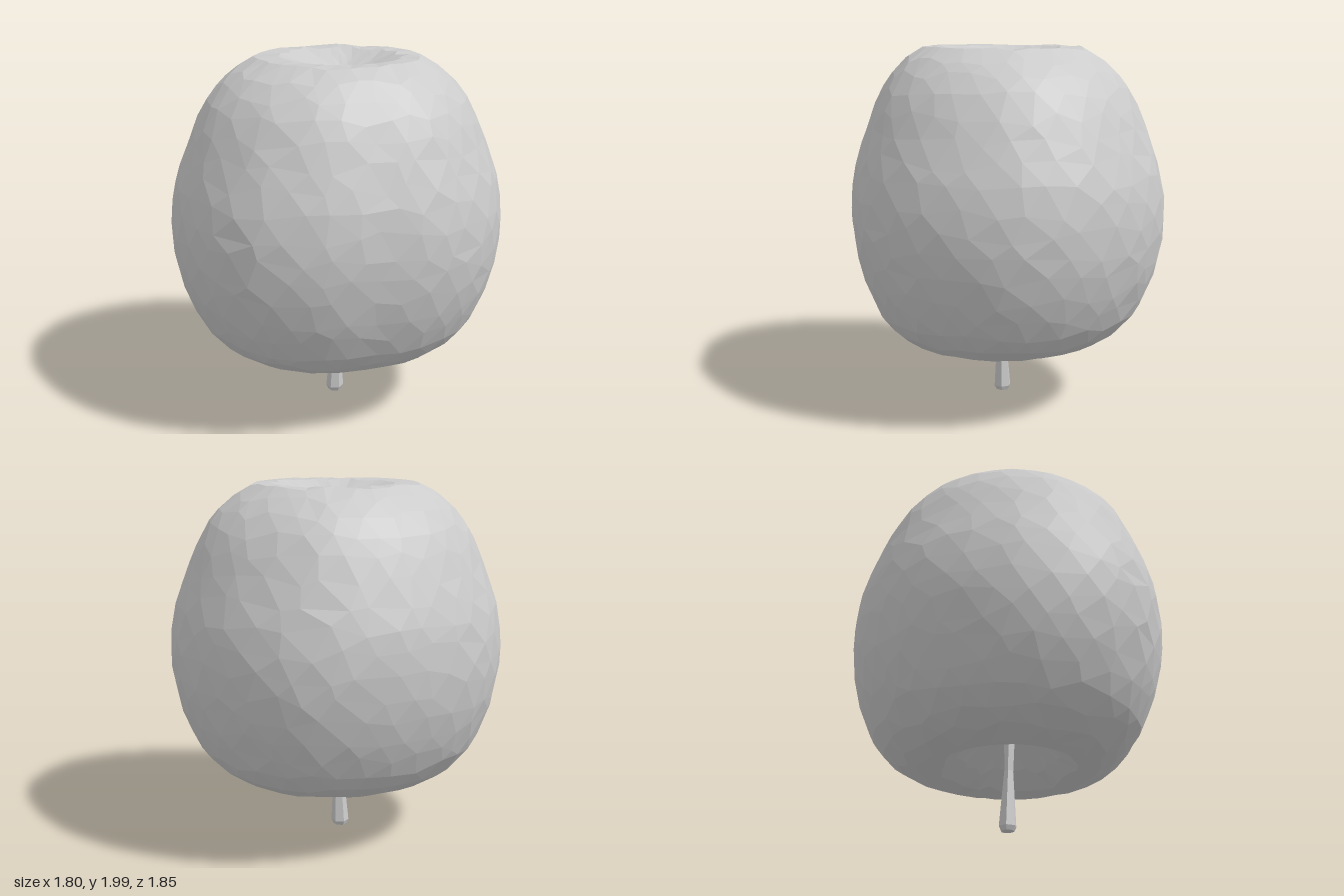
import * as THREE from 'three';

// Small seeded generator, returns -0.5..0.5
function seeded(seed) {
  return () => {
    seed = (seed * 16807) % 2147483647;
    return seed / 2147483647 - 0.5;
  };
}

// Radius and height from the stem cavity, over the outside, to the top dimple
const profile = new THREE.CatmullRomCurve3([
  [0, 0.64], [0.07, 0.6], [0.2, 0.49], [0.34, 0.375], [0.46, 0.34],
  [0.58, 0.37], [0.735, 0.49], [0.845, 0.71], [0.895, 0.9], [0.91, 1.1],
  [0.885, 1.31], [0.825, 1.49], [0.73, 1.72], [0.655, 1.83], [0.56, 1.92],
  [0.43, 1.99], [0.31, 1.98], [0.16, 1.92], [0, 1.88],
].map(([r, y]) => new THREE.Vector3(r, y, 0)), false, 'centripetal');

// Uneven outline radius around the fruit, every 22.5 degrees from +x towards +z
const outline = [0.895, 0.865, 0.82, 0.87, 0.925, 0.935, 0.93, 0.91,
  0.9, 0.875, 0.88, 0.92, 0.925, 0.925, 0.93, 0.91];

function outlineScale(angle) {
  const n = outline.length;
  const t = ((angle / (2 * Math.PI)) * n + n) % n;
  const i = Math.floor(t);
  const k = t - i;
  return THREE.MathUtils.lerp(outline[i % n], outline[(i + 1) % n], k) / 0.91;
}

function fruitPoint(v, angle) {
  const p = profile.getPointAt(THREE.MathUtils.clamp(v, 0, 1));
  const weight = THREE.MathUtils.smoothstep(p.x, 0.3, 0.7);
  const r = p.x * THREE.MathUtils.lerp(1, outlineScale(angle) * 1.004, weight);
  // the top dimple sits a little behind the middle
  const shift = p.y > 1.5 ? -0.1 * Math.max(0, 1 - p.x / 0.5) : 0;
  return [r * Math.cos(angle), p.y, r * Math.sin(angle) + shift];
}

// Faceted skin: rows of points slid along the surface at random
function fruitGeometry(rows, columns) {
  const random = seeded(4711);
  const positions = [];
  const indices = [];
  for (let i = 0; i <= rows; i++) {
    for (let j = 0; j < columns; j++) {
      const end = i === 0 || i === rows;
      const v = (i + (end ? 0 : random() * 0.6)) / rows;
      const u = (j + (i % 2) * 0.5 + random() * 0.5) / columns;
      positions.push(...fruitPoint(v, u * 2 * Math.PI));
    }
  }
  for (let i = 0; i < rows; i++) {
    for (let j = 0; j < columns; j++) {
      const k = (j + 1) % columns;
      const a = i * columns + j, b = i * columns + k;
      const c = (i + 1) * columns + j, d = (i + 1) * columns + k;
      // diagonals follow the half-step offset of every other row
      const faces = i % 2 ? [[a, d, b], [a, c, d]] : [[a, c, b], [b, c, d]];
      for (const face of faces) {
        const atBottom = i === 0 && face.includes(a) && face.includes(b);
        const atTop = i === rows - 1 && face.includes(c) && face.includes(d);
        if (!atBottom && !atTop) indices.push(...face);
      }
    }
  }
  const geometry = new THREE.BufferGeometry();
  geometry.setAttribute('position', new THREE.Float32BufferAttribute(positions, 3));
  geometry.setIndex(indices);
  geometry.computeVertexNormals();
  return geometry;
}

// Six-sided stem, flared at its free end, slightly leaning
function stemGeometry() {
  const points = [[0, 0], [0.038, 0.005], [0.05, 0.03], [0.026, 0.34], [0.03, 0.5], [0.05, 0.64]]
    .map(([r, y]) => new THREE.Vector2(r, y));
  const geometry = new THREE.LatheGeometry(points, 6);
  const p = geometry.attributes.position;
  for (let i = 0; i < p.count; i++) p.setX(i, p.getX(i) - 0.02 * (1 - p.getY(i) / 0.64));
  geometry.computeVertexNormals();
  return geometry;
}

export function createModel() {
  const group = new THREE.Group();
  group.name = 'apple';
  const material = new THREE.MeshStandardMaterial({
    color: 0xcccccc, flatShading: true, side: THREE.DoubleSide,
  });

  const fruit = new THREE.Mesh(fruitGeometry(26, 32), material);
  fruit.name = 'fruit';
  const stem = new THREE.Mesh(stemGeometry(), material);
  stem.name = 'stem';
  group.add(fruit, stem);
  return group;
}
